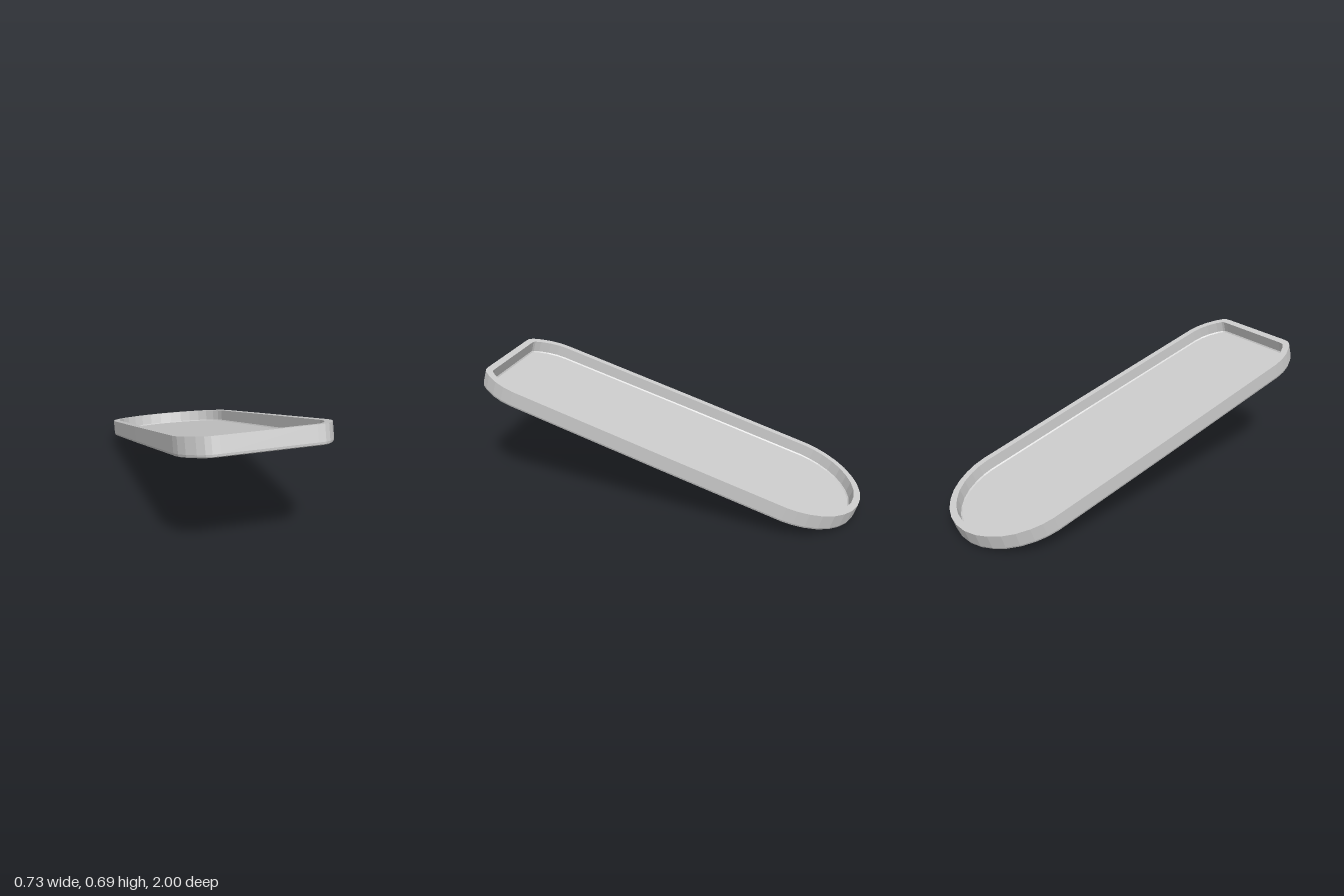
import * as THREE from 'three';

// Right half of the plan outline [x, z], from the rounded back to the straight front
const HALF = [
  [0, -1.034], [0.075, -1.026], [0.145, -1.003], [0.205, -0.968], [0.26, -0.922], [0.305, -0.865],
  [0.338, -0.8], [0.357, -0.74], [0.365, -0.68], [0.366, 0], [0.361, 0.82], [0.354, 0.875],
  [0.335, 0.93], [0.303, 0.985], [0.275, 1.018], [0.25, 1.032], [0.215, 1.034],
];
const mirrored = HALF.slice(1).reverse().map(([x, z]) => [-x, z]);
const OUTLINE = [...HALF, ...mirrored];

// Outline moved inwards by a distance, at height y
function ring(inset, y) {
  const n = OUTLINE.length;
  return OUTLINE.map(([x, z], i) => {
    const p = OUTLINE[(i + n - 1) % n], q = OUTLINE[(i + 1) % n];
    const a = new THREE.Vector2(z - p[1], p[0] - x).normalize();
    const b = new THREE.Vector2(q[1] - z, x - q[0]).normalize();
    const m = a.clone().add(b).normalize();
    const d = inset / m.dot(a);
    return [x - m.x * d, y, z - m.y * d];
  });
}

// Wall section [inset, height]: bottom bevel, outer wall, rim, inner wall, floor fillet
const SECTION = [[0.012, 0], [0.003, 0.004], [0, 0.014], [0, 0.09], [0.036, 0.09], [0.038, 0.03], [0.044, 0.024]];

function trayGeometry() {
  const rings = SECTION.map(([inset, y]) => ring(inset, y));
  const n = OUTLINE.length;
  const pos = [];
  const tri = (a, b, c) => pos.push(...a, ...b, ...c);
  for (let k = 0; k < rings.length - 1; k++) {
    const a = rings[k], b = rings[k + 1];
    for (let i = 0; i < n; i++) {
      const j = (i + 1) % n;
      tri(a[i], b[i], a[j]);
      tri(b[i], b[j], a[j]);
    }
  }
  // Underside and inner floor
  const under = rings[0], floor = rings[rings.length - 1];
  for (let i = 0; i < n; i++) {
    const j = (i + 1) % n;
    tri([0, under[0][1], 0], under[i], under[j]);
    tri([0, floor[0][1], 0], floor[j], floor[i]);
  }
  const geo = new THREE.BufferGeometry();
  geo.setAttribute('position', new THREE.Float32BufferAttribute(pos, 3));
  geo.computeVertexNormals();
  return geo;
}

export function createModel() {
  const group = new THREE.Group();
  const material = new THREE.MeshStandardMaterial({ color: 0xcccccc, flatShading: true });
  const tray = new THREE.Mesh(trayGeometry(), material);
  tray.name = 'tray';
  // Tilted with the front end raised
  tray.rotation.x = -THREE.MathUtils.degToRad(17.1);
  tray.position.set(0, 0.301, 0.015);
  group.add(tray);
  return group;
}
